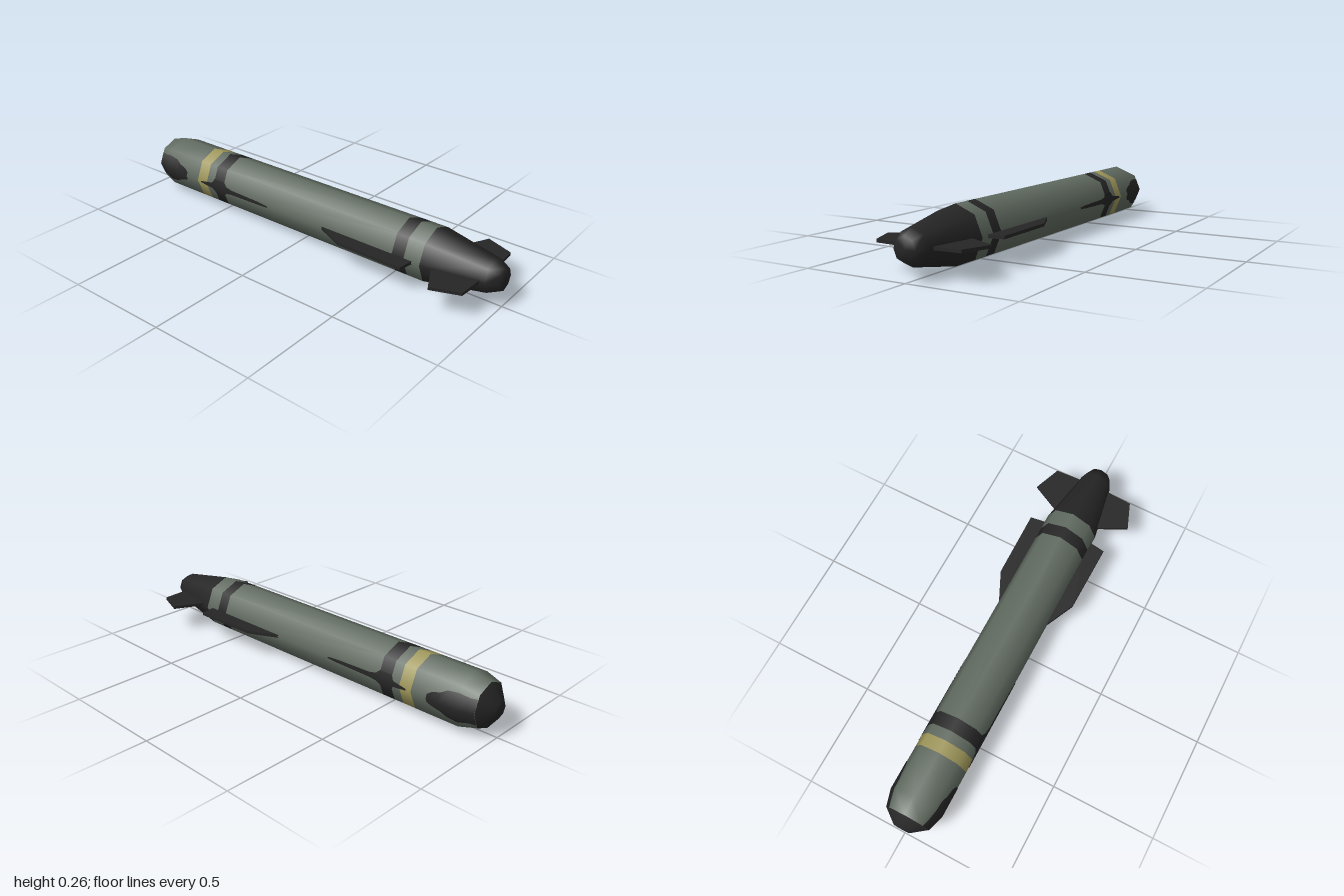
import * as THREE from 'three';

const AXIS = 0.13; // height of the body axis
// body outline: [z, radius], tail to nose
const OUTLINE = [[-1, 0], [-1, 0.04], [-0.95, 0.106], [-0.87, 0.13], [0.67, 0.13], [0.95, 0.078], [1, 0.052], [1, 0]];

function radiusAt(z) {
  for (let i = 1; i < OUTLINE.length - 2; i++) {
    const [z0, r0] = OUTLINE[i], [z1, r1] = OUTLINE[i + 1];
    if (z <= z1) return r0 + (r1 - r0) * (z - z0) / (z1 - z0);
  }
  return OUTLINE[OUTLINE.length - 2][1];
}

// eight-sided slice of the body between two z positions
function slice(z0, z1) {
  const inner = OUTLINE.filter(([z]) => z > z0 && z < z1);
  let pts = [[z0, radiusAt(z0)], ...inner, [z1, radiusAt(z1)]];
  if (z0 === -1) pts = [[-1, 0], ...pts];
  if (z1 === 1) pts = [...pts, [1, 0]];
  const g = new THREE.LatheGeometry(pts.map(([z, r]) => new THREE.Vector2(r, z)), 8);
  return g.rotateX(Math.PI / 2).translate(0, AXIS, 0);
}

// painted patch hugging the side ridge; rows are [z, half height], front to back
function patch(rows, side) {
  const pos = [], nor = [], idx = [];
  rows.forEach(([z, half], i) => {
    const r = radiusAt(z);
    for (const h of [half, 0, -half]) {
      const x = r - Math.abs(h) * Math.tan(Math.PI / 8) + 0.002;
      const len = Math.hypot(x, h);
      pos.push(side * x, AXIS + h, z);
      nor.push(side * x / len, h / len, 0);
    }
    if (i === 0) return;
    for (let j = 0; j < 2; j++) {
      const a = (i - 1) * 3 + j, b = a + 1, c = a + 3, d = a + 4;
      idx.push(...(side > 0 ? [a, b, c, b, d, c] : [a, c, b, b, c, d]));
    }
  });
  const g = new THREE.BufferGeometry();
  g.setAttribute('position', new THREE.Float32BufferAttribute(pos, 3));
  g.setAttribute('normal', new THREE.Float32BufferAttribute(nor, 3));
  g.setIndex(idx);
  return g;
}

// flat horizontal fin from an [x, z] plan
function fin(plan, side) {
  const shape = new THREE.Shape(plan.map(([x, z]) => new THREE.Vector2(side * x, z)));
  const g = new THREE.ExtrudeGeometry(shape, { depth: 0.014, bevelEnabled: false });
  return g.rotateX(Math.PI / 2).translate(0, AXIS + 0.007, 0);
}

export function createModel() {
  const group = new THREE.Group();
  const mat = (name, color) => {
    const m = new THREE.MeshStandardMaterial({ color });
    m.name = name;
    return m;
  };
  const green = mat('grey green', 0x616b61);
  const dark = mat('charcoal', 0x262626);
  const yellow = mat('dull yellow', 0xa0985a);
  const add = (name, geometry, material) => {
    const mesh = new THREE.Mesh(geometry, material);
    mesh.name = name;
    group.add(mesh);
  };

  // body with its painted bands, tail to nose
  [
    ['tailCap', -1, -0.95, dark],
    ['rearBody', -0.95, -0.65, green],
    ['yellowBand', -0.65, -0.588, yellow],
    ['bandGap', -0.588, -0.54, green],
    ['rearDarkBand', -0.54, -0.475, dark],
    ['midBody', -0.475, 0.53, green],
    ['frontDarkBand', 0.53, 0.59, dark],
    ['frontBody', 0.59, 0.67, green],
    ['nose', 0.67, 1, dark],
  ].forEach(([name, z0, z1, m]) => add(name, slice(z0, z1), m));

  const tailPatch = [[-0.73, 0.018], [-0.75, 0.032], [-0.79, 0.043], [-0.82, 0.06], [-0.87, 0.067], [-0.92, 0.057], [-0.95, 0.058]];
  const sideStripe = [[-0.18, 0.004], [-0.24, 0.008], [-0.42, 0.012], [-0.455, 0.018], [-0.475, 0.035],
    [-0.54, 0.035], [-0.553, 0.014], [-0.59, 0.009], [-0.625, 0.004]];
  const midFin = [[0.1, 0.1], [0.13, 0.15], [0.195, 0.29], [0.2, 0.62], [0.1, 0.635]];
  const noseFin = [[0.08, 0.695], [0.125, 0.725], [0.252, 0.79], [0.203, 0.92], [0.06, 0.928]];

  for (const side of [1, -1]) {
    const s = side > 0 ? 'left' : 'right';
    add(s + 'TailPatch', patch(tailPatch, side), dark);
    add(s + 'SideStripe', patch(sideStripe, side), dark);
    add(s + 'MidFin', fin(midFin, side), dark);
    add(s + 'NoseFin', fin(noseFin, side), dark);
  }
  return group;
}
